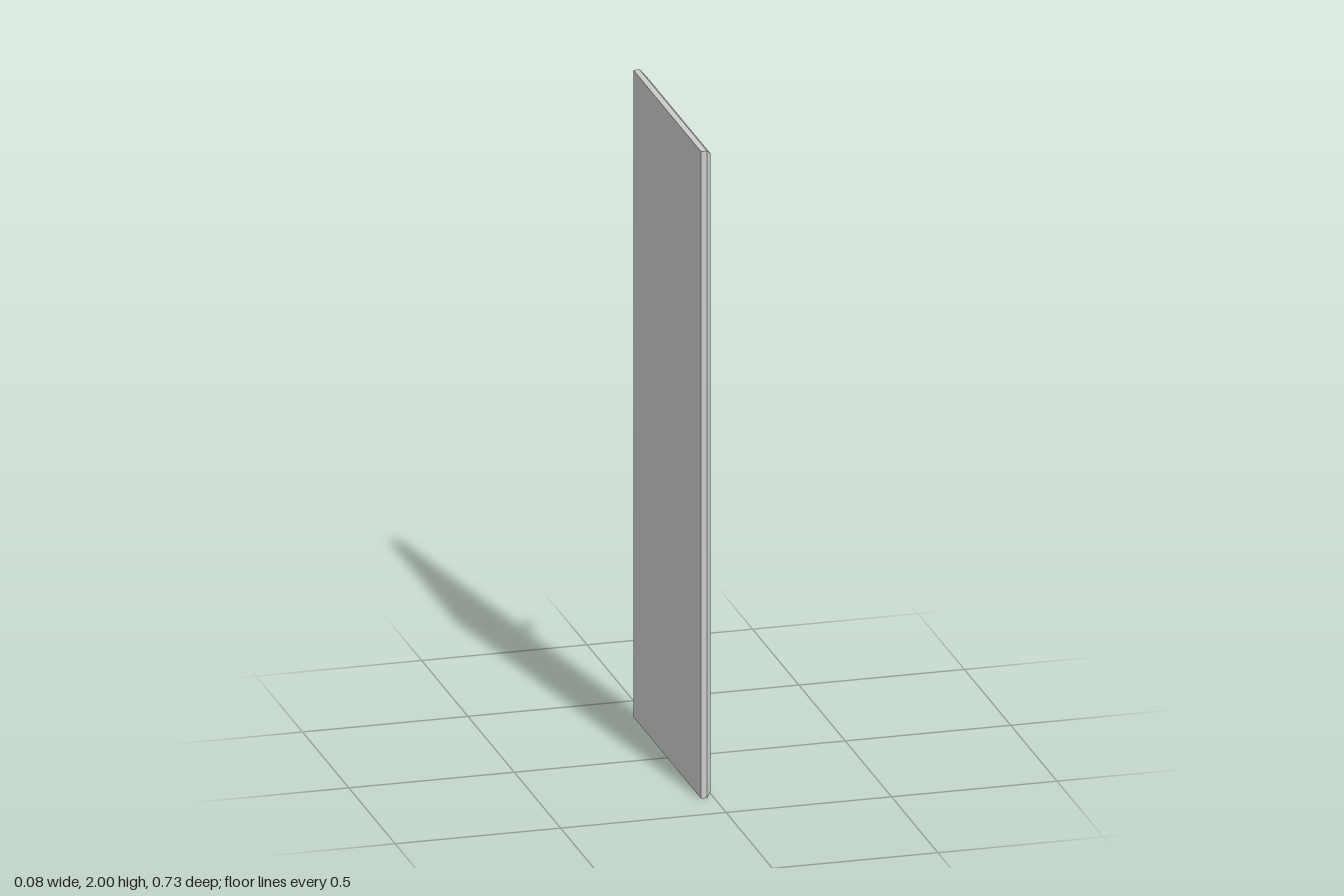
import * as THREE from 'three';
import { toCreasedNormals } from 'three/addons/utils/BufferGeometryUtils.js';

const material = new THREE.MeshStandardMaterial({ color: 0xcccccc });

// Joins rectangles [x, halfWidth, bottom, top] into a faceted skin facing +x.
function loft(rects, capBack, capFront) {
  const rings = rects.map(([x, w, y0, y1]) => [[x, y0, w], [x, y0, -w], [x, y1, -w], [x, y1, w]]);
  const positions = [];
  const quad = (a, b, c, d) => positions.push(...a, ...b, ...c, ...a, ...c, ...d);
  for (let i = 0; i < rings.length - 1; i++) {
    const [a, b] = [rings[i], rings[i + 1]];
    for (let k = 0; k < 4; k++) {
      const n = (k + 1) % 4;
      quad(a[k], a[n], b[n], b[k]);
    }
  }
  if (capBack) quad(...[...rings[0]].reverse());
  if (capFront) quad(...rings[rings.length - 1]);
  const geometry = new THREE.BufferGeometry();
  geometry.setAttribute('position', new THREE.Float32BufferAttribute(positions, 3));
  geometry.computeVertexNormals();
  return geometry;
}

export function createModel() {
  const group = new THREE.Group();
  const add = (name, geometry) => {
    const mesh = new THREE.Mesh(geometry, material);
    mesh.name = name;
    group.add(mesh);
    return mesh;
  };

  // Door slab: flat back, bevelled outer rim, and a recess inside the frame
  add('doorFrame', loft([
    [-0.038, 0.365, 0, 2],
    [-0.0195, 0.365, 0, 2],
    [-0.005, 0.351, 0.014, 1.986],
    [-0.005, 0.295, 0.073, 1.934],
    [-0.0195, 0.295, 0.073, 1.934],
  ], true, true));

  // Raised panel with bevelled edges, standing in the recess
  add('raisedPanel', loft([
    [-0.0195, 0.276, 0.208, 1.912],
    [-0.003, 0.258, 0.226, 1.895],
  ], false, true));

  // Round knob: short stem, flared neck and rounded face
  const profile = [
    [0.0125, -0.006], [0.0125, 0.007], [0.029, 0.024], [0.0305, 0.027],
    [0.0305, 0.031], [0.029, 0.035], [0.026, 0.037], [0, 0.037],
  ].map(([r, h]) => new THREE.Vector2(r, h));
  const knob = add('knob', toCreasedNormals(new THREE.LatheGeometry(profile, 32), 0.6));
  knob.rotation.z = -Math.PI / 2;
  knob.position.set(0, 1.06, -0.323);

  return group;
}
